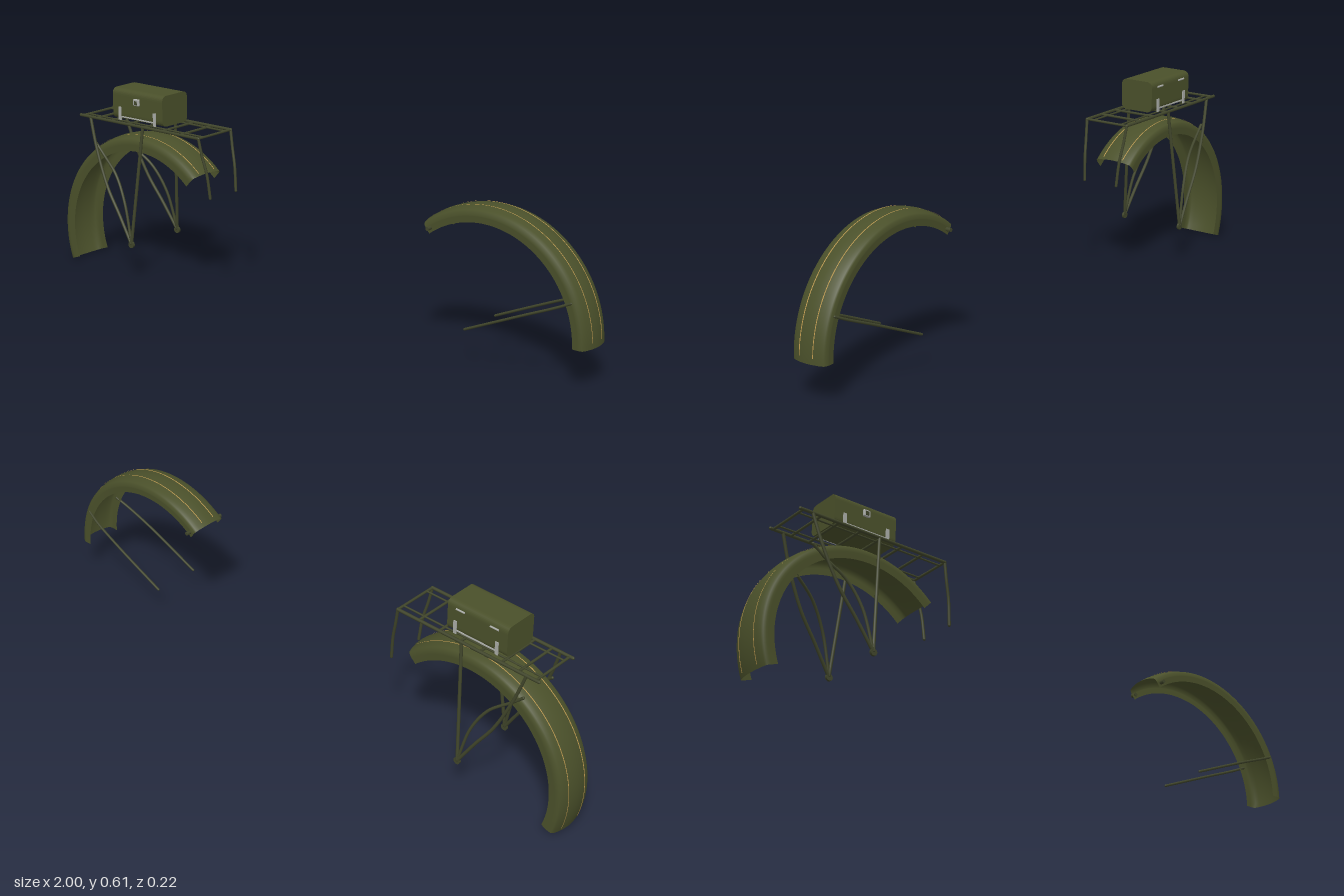
import * as THREE from 'three';
import { RoundedBoxGeometry } from 'three/addons/geometries/RoundedBoxGeometry.js';

const V = (x, y, z) => new THREE.Vector3(x, y, z);

// Sweep a (z, radius) cross-section around the wheel axle between two angles
function sweepArc(section, cx, cy, a0, a1, steps = 56) {
  const pos = [], idx = [], n = section.length;
  for (let i = 0; i <= steps; i++) {
    const a = THREE.MathUtils.degToRad(a0 + (a1 - a0) * i / steps);
    for (const [z, r] of section) pos.push(cx + r * Math.cos(a), cy + r * Math.sin(a), z);
  }
  for (let i = 0; i < steps; i++) for (let j = 0; j < n - 1; j++) {
    const a = i * n + j, b = a + n;
    idx.push(a, a + 1, b, b, a + 1, b + 1);
  }
  const g = new THREE.BufferGeometry();
  g.setAttribute('position', new THREE.Float32BufferAttribute(pos, 3));
  g.setIndex(idx);
  g.computeVertexNormals();
  return g;
}

// Crowned mudguard profile with deep sides, from +z to -z
function guardSection(w, depth) {
  const R = 0.346;
  const half = [[w * 0.985, R - depth], [w, R - depth * 0.6], [w, R - 0.024], [w * 0.97, R - 0.015],
    [w * 0.9, R - 0.0105], [w * 0.7, R - 0.006], [w * 0.35, R - 0.0015]];
  return [...half, [0, R], ...half.slice().reverse().map(([z, r]) => [-z, r])];
}

export function createModel() {
  const model = new THREE.Group();
  const olive = new THREE.MeshStandardMaterial({ name: 'olive paint', color: 0x4a502a, side: THREE.DoubleSide });
  const darkOlive = new THREE.MeshStandardMaterial({ name: 'dark olive tubing', color: 0x40452a });
  const gold = new THREE.MeshStandardMaterial({ name: 'gold pinstripe', color: 0xc09a50, side: THREE.DoubleSide });
  const steel = new THREE.MeshStandardMaterial({ name: 'steel', color: 0xa9aba6 });

  const add = (name, geo, mat, x = 0, y = 0, z = 0, parent = model) => {
    const m = new THREE.Mesh(geo, mat);
    m.name = name;
    m.position.set(x, y, z);
    parent.add(m);
    return m;
  };
  const tube = (name, pts, r, parent, mat = darkOlive) => {
    const straight = pts.length === 2;
    const curve = straight ? new THREE.LineCurve3(...pts) : new THREE.CatmullRomCurve3(pts);
    add(name, new THREE.TubeGeometry(curve, straight ? 1 : 28, r, 8), mat, 0, 0, 0, parent);
    // close both ends
    for (const p of [pts[0], pts[pts.length - 1]])
      add(name + 'End', new THREE.SphereGeometry(r, 8, 6), mat, p.x, p.y, p.z, parent);
  };

  // Mudguards with twin pinstripes
  const guards = [
    { name: 'rearMudguard', cx: -0.654, w: 0.066, depth: 0.05, a0: 47.5, a1: 200, s0: 49, s1: 198, sz: 0.036, drop: 0.004 },
    { name: 'frontMudguard', cx: 0.652, w: 0.059, depth: 0.045, a0: 0, a1: 127.5, s0: 3, s1: 125, sz: 0.024, drop: 0.002 },
  ];
  for (const g of guards) {
    add(g.name, sweepArc(guardSection(g.w, g.depth), g.cx, 0.13, g.a0, g.a1), olive);
    for (const s of [1, -1]) {
      const r = 0.3475 - g.drop, z = s * g.sz;
      add('pinstripe', sweepArc([[z + 0.0014, r], [z - 0.0014, r]], g.cx, 0.13, g.s0, g.s1), gold);
    }
  }

  // Front mudguard stays and tip studs
  for (const s of [1, -1]) {
    tube('frontStay', [V(0.945, 0.26, s * 0.059), V(0.9, 0.24, s * 0.067), V(0.8, 0.199, s * 0.074),
      V(0.61, 0.118, s * 0.077)], 0.004, model);
    const stud = add('tipStud', new THREE.CylinderGeometry(0.006, 0.006, 0.018, 10), darkOlive, 0.472, 0.387, s * 0.065);
    stud.rotation.x = Math.PI / 2;
  }

  // Luggage rack
  const rack = new THREE.Group();
  rack.name = 'luggageRack';
  model.add(rack);
  const ry = 0.513;
  for (const s of [1, -1]) {
    const z = s * 0.075;
    tube('rackRail', [V(-0.895, ry, z), V(-0.392, ry, z)], 0.005, rack);
    tube('rackInnerRail', [V(-0.885, ry, s * 0.05), V(-0.395, ry, s * 0.05)], 0.003, rack);
    tube('rackHook', [V(-0.392, ry, z), V(-0.382, 0.46, s * 0.071), V(-0.368, 0.4, s * 0.065),
      V(-0.36, 0.325, s * 0.06)], 0.0045, rack);
    tube('rackStrut', [V(-0.625, ry, z), V(-0.655, 0.135, s * 0.107)], 0.005, rack);
    tube('rackBackStrut', [V(-0.853, ry, z), V(-0.82, 0.415, s * 0.084), V(-0.767, 0.3, s * 0.094),
      V(-0.71, 0.217, s * 0.101), V(-0.657, 0.135, s * 0.107)], 0.005, rack);
    tube('rearGuardStay', [V(-0.84, 0.425, s * 0.064), V(-0.80, 0.39, s * 0.069), V(-0.738, 0.34, s * 0.083),
      V(-0.69, 0.26, s * 0.097), V(-0.655, 0.135, s * 0.107)], 0.0045, rack);
    // axle eyelet
    const eye = add('axleEyelet', new THREE.CylinderGeometry(0.011, 0.011, 0.007, 16), darkOlive, -0.655, 0.132, s * 0.107, rack);
    eye.rotation.x = Math.PI / 2;
  }
  for (const x of [-0.885, -0.825, -0.765, -0.69, -0.62, -0.545, -0.47, -0.392])
    tube('rackRung', [V(x, ry, -0.075), V(x, ry, 0.075)], 0.004, rack);

  // Tool box
  const box = new THREE.Group();
  box.name = 'toolBox';
  box.position.set(-0.663, 0, 0);
  model.add(box);
  const w = 0.057, y0 = 0.519, y1 = 0.617, r = 0.02;
  const shape = new THREE.Shape();
  shape.moveTo(-w + r, y0);
  shape.lineTo(w - r, y0);
  shape.quadraticCurveTo(w, y0, w, y0 + r);
  shape.lineTo(w, y1 - r);
  shape.quadraticCurveTo(w, y1, w - r, y1);
  shape.lineTo(-w + r, y1);
  shape.quadraticCurveTo(-w, y1, -w, y1 - r);
  shape.lineTo(-w, y0 + r);
  shape.quadraticCurveTo(-w, y0, -w + r, y0);
  const body = new THREE.ExtrudeGeometry(shape, { depth: 0.212, bevelEnabled: false, curveSegments: 8 });
  body.translate(0, 0, -0.106);
  body.rotateY(Math.PI / 2);
  add('boxBody', body, olive, 0, 0, 0, box);

  // Steel brackets, lower strips, latch and hinges
  for (const s of [1, -1]) {
    for (const x of [-0.073, 0.075])
      add('boxBracket', new THREE.BoxGeometry(0.011, 0.042, 0.003), steel, x, 0.539, s * 0.0605, box);
    add('boxStrip', new THREE.BoxGeometry(0.15, 0.004, 0.003), steel, 0, 0.529, s * 0.0595, box);
    const hinge = add('boxHinge', new THREE.CylinderGeometry(0.003, 0.003, 0.03, 10), steel, s * 0.06, 0.598, -0.058, box);
    hinge.rotation.z = Math.PI / 2;
  }
  add('latchPlate', new RoundedBoxGeometry(0.024, 0.022, 0.008, 2, 0.003), steel, 0, 0.584, 0.061, box);
  add('latchButton', new THREE.BoxGeometry(0.01, 0.012, 0.003), darkOlive, 0, 0.583, 0.066, box);

  return model;
}
